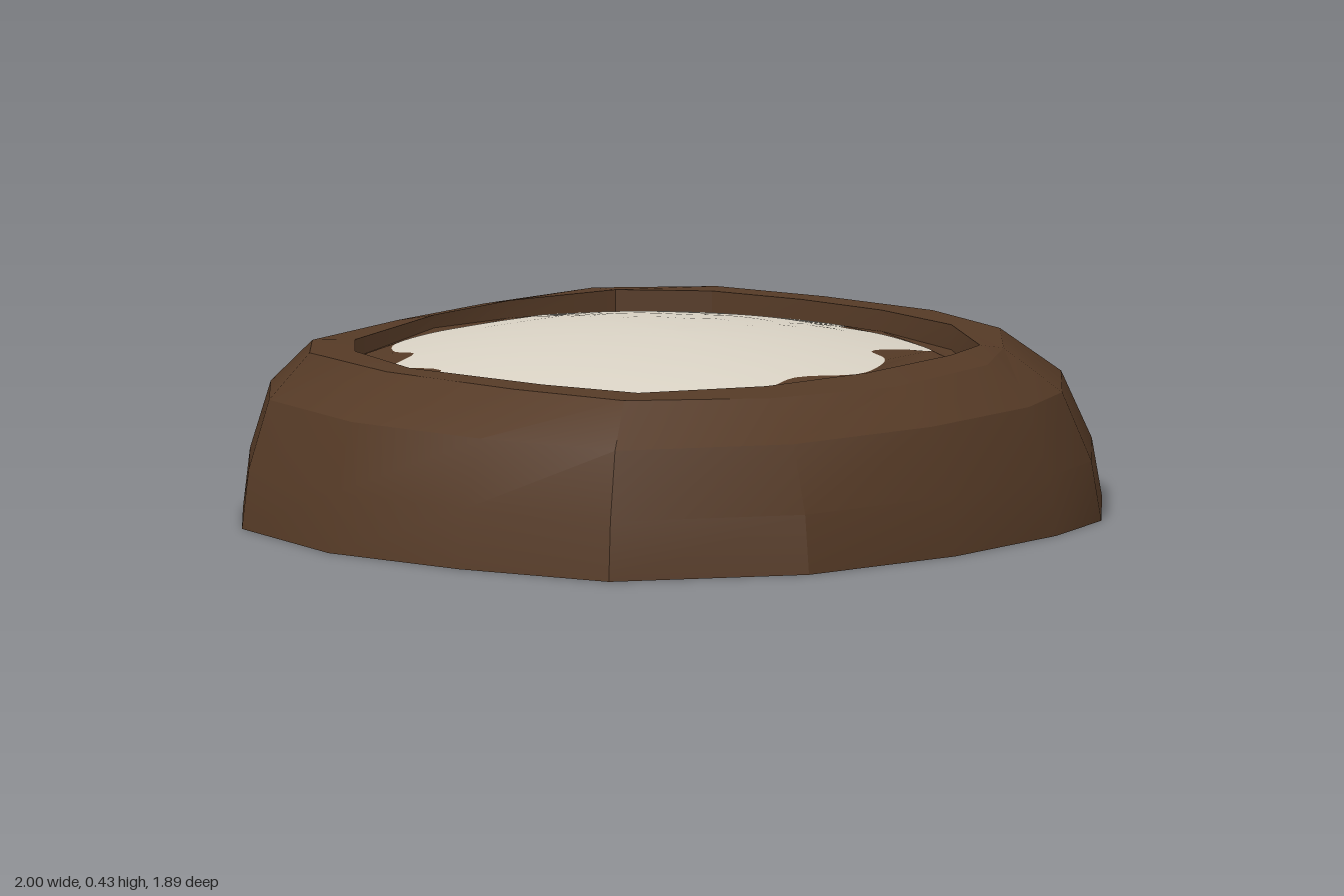
import * as THREE from 'three';
import { toCreasedNormals } from 'three/addons/utils/BufferGeometryUtils.js';

const brown = new THREE.MeshStandardMaterial({ name: 'dark brown', color: 0x553a26, side: THREE.DoubleSide });
const cream = new THREE.MeshStandardMaterial({ name: 'cream', color: 0xd9d2c4, side: THREE.DoubleSide });

// Plan outlines as [x, z], clockwise from the back
const base = [[-0.12, -0.95], [0.28, -0.92], [0.58, -0.84], [0.9, -0.56], [0.98, -0.27], [1, 0.15], [0.87, 0.57], [0.6, 0.82],
  [0.36, 0.9], [-0.03, 0.94], [-0.47, 0.88], [-0.87, 0.61], [-0.97, 0.22], [-1, -0.17], [-0.87, -0.57], [-0.62, -0.8]];
const shoulder = [[-0.1, -0.79], [0.21, -0.8], [0.52, -0.74], [0.71, -0.52], [0.77, -0.23], [0.79, 0.1], [0.7, 0.4], [0.51, 0.59],
  [0.32, 0.715], [-0.03, 0.75], [-0.41, 0.7], [-0.71, 0.51], [-0.76, 0.2], [-0.77, -0.2], [-0.68, -0.53], [-0.51, -0.68]];
const lip = [[-0.08, -0.69], [0.2, -0.71], [0.49, -0.64], [0.63, -0.46], [0.68, -0.22], [0.69, 0.03], [0.64, 0.3], [0.46, 0.56],
  [0.3, 0.615], [-0.03, 0.655], [-0.34, 0.62], [-0.62, 0.47], [-0.68, 0.22], [-0.71, -0.18], [-0.61, -0.45], [-0.48, -0.57]];
const patch = [[-0.63, -0.18], [-0.58, -0.2], [-0.57, -0.36], [-0.46, -0.4], [-0.44, -0.48], [-0.34, -0.57], [-0.2, -0.58],
  [-0.11, -0.55], [0.07, -0.53], [0.18, -0.58], [0.3, -0.57], [0.38, -0.5], [0.45, -0.31], [0.53, -0.29], [0.6, -0.24],
  [0.62, -0.14], [0.6, 0], [0.53, 0.05], [0.57, 0.12], [0.56, 0.23], [0.52, 0.35], [0.42, 0.35], [0.29, 0.37], [0.27, 0.43],
  [0.19, 0.49], [0.07, 0.53], [-0.1, 0.49], [-0.2, 0.51], [-0.3, 0.52], [-0.4, 0.5], [-0.53, 0.41], [-0.55, 0.25],
  [-0.59, 0.07], [-0.64, -0.05]];

// Height of the gently domed filling
const domeY = (x, z) => 0.435 - 0.155 * ((x + 0.02) ** 2 + (z + 0.07) ** 2);

// Skin a list of closed loops of [x, y, z]
function loft(loops) {
  const n = loops[0].length, index = [];
  for (let r = 0; r < loops.length - 1; r++) {
    for (let i = 0; i < n; i++) {
      const a = r * n + i, b = r * n + (i + 1) % n;
      index.push(a, a + n, b, b, a + n, b + n);
    }
  }
  const g = new THREE.BufferGeometry();
  g.setAttribute('position', new THREE.Float32BufferAttribute(loops.flat(2), 3));
  g.setIndex(index);
  g.computeVertexNormals();
  return g;
}

function add(group, name, geometry, material) {
  const mesh = new THREE.Mesh(geometry, material);
  mesh.name = name;
  group.add(mesh);
}

export function createModel() {
  const group = new THREE.Group();
  group.name = 'filledBowl';

  // Outer wall bulging in towards the shoulder, open underneath
  const ring = (t, y) => base.map(([x, z], i) => [
    THREE.MathUtils.lerp(shoulder[i][0], x, t), y, THREE.MathUtils.lerp(shoulder[i][1], z, t)]);
  const shoulderLoop = shoulder.map(([x, z]) => [x, 0.382 + 0.02 * Math.min(1, Math.abs(x) / 0.7), z]);
  const lipLoop = lip.map(([x, z]) => [x, 0.406, z]);
  const wall = loft([ring(1, 0), ring(0.9, 0.14), ring(0.6, 0.3), shoulderLoop, lipLoop]);
  add(group, 'outerWall', toCreasedNormals(wall, 0.45), brown);

  // Short inner wall dropping from the lip to the filling
  const floorLoop = lip.map(([x, z]) => [x, domeY(x, z), z]);
  add(group, 'innerWall', toCreasedNormals(loft([lipLoop, floorLoop]), 0.45), brown);

  // Ragged patch edge
  const curve = new THREE.CatmullRomCurve3(patch.map(([x, z]) => new THREE.Vector3(x, 0, z)), true);
  const edge = curve.getPoints(136).slice(0, -1);

  // Brown border of the filling, cut out around the patch
  const plan = (x, z) => new THREE.Vector2(x, -z);
  const shape = new THREE.Shape(lip.map(([x, z]) => plan(x, z)));
  shape.holes.push(new THREE.Path(edge.map((p) => plan(p.x, p.z))));
  const border = new THREE.ShapeGeometry(shape).rotateX(-Math.PI / 2);
  const pos = border.attributes.position;
  for (let i = 0; i < pos.count; i++) pos.setY(i, domeY(pos.getX(i), pos.getZ(i)));
  border.computeVertexNormals();
  add(group, 'fillingBorder', border, brown);

  // Cream patch following the dome
  const rings = [1, 0.8, 0.6, 0.4, 0.2, 0.001].map((s) =>
    edge.map((p) => [p.x * s, domeY(p.x * s, p.z * s), p.z * s]));
  add(group, 'creamPatch', loft(rings), cream);

  return group;
}
